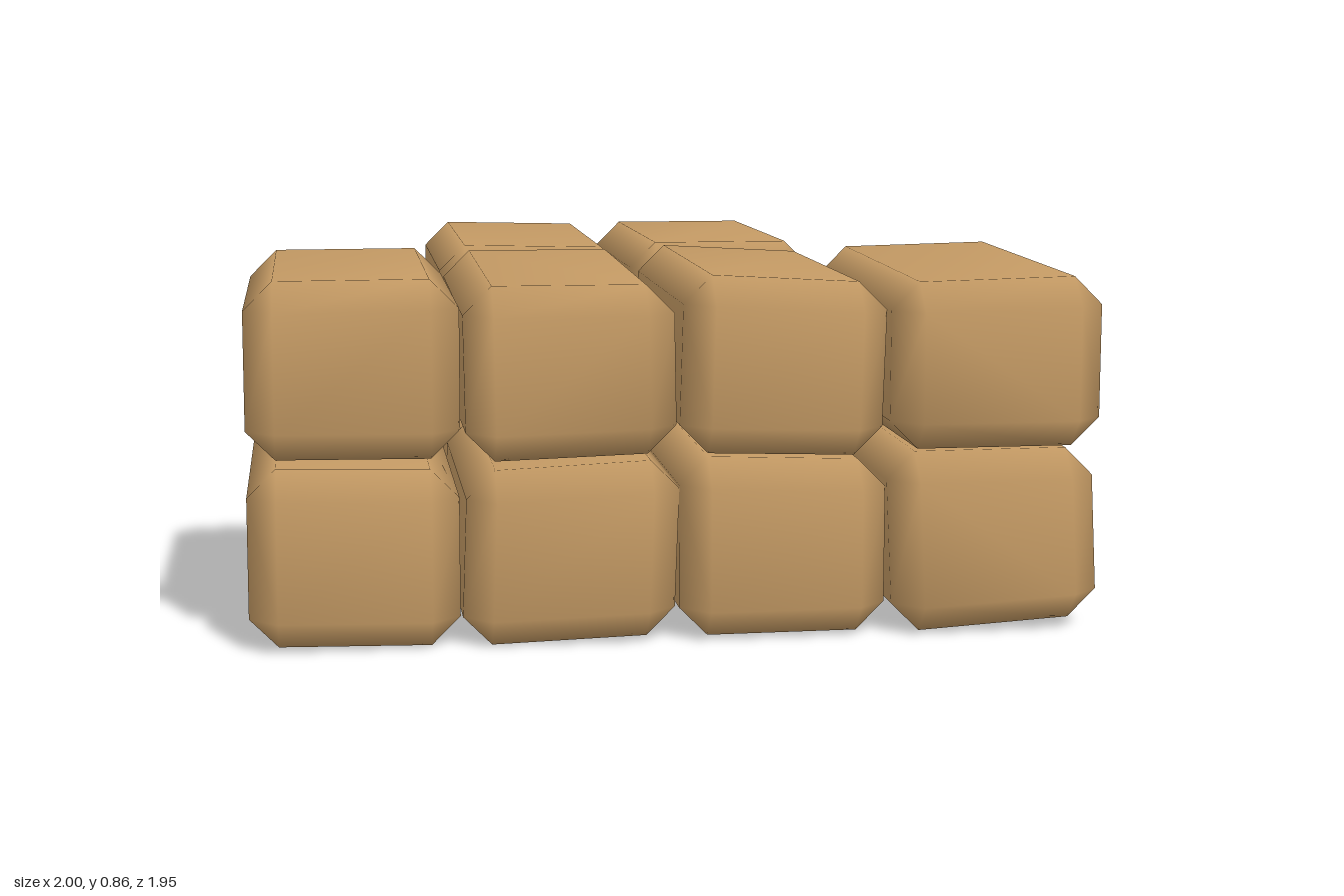
import * as THREE from 'three';
import { mergeVertices } from 'three/addons/utils/BufferGeometryUtils.js';
import { ConvexGeometry } from 'three/addons/geometries/ConvexGeometry.js';

const BEVEL = 0.067;

// Bevelled block; the tilts nudge its right, left and end faces out of square.
function blockGeometry([x0, x1, y0, y1, z0, z1], { top = 0, bottom = 0, lean = 0, pitch = 0, end = 0 }) {
  const points = [];
  for (const i of [0, 1]) for (const j of [0, 1]) for (const k of [0, 1]) {
    const corner = [
      (i ? x1 : x0) + (j ? lean : 0),
      (j ? y1 : y0) + (i ? (j ? top : bottom) : 0) + (j && k ? pitch : 0),
      (k ? z1 : z0) + (i ? end : 0),
    ];
    const inward = [i ? -1 : 1, j ? -1 : 1, k ? -1 : 1];
    // each corner is cut into three points, one per face
    for (let axis = 0; axis < 3; axis++) {
      points.push(new THREE.Vector3(...corner.map((v, a) => (a === axis ? v : v + inward[a] * BEVEL))));
    }
  }
  const hull = new ConvexGeometry(points);
  hull.deleteAttribute('normal');
  const geometry = mergeVertices(hull, 1e-4);
  geometry.computeVertexNormals();
  return geometry;
}

export function createModel() {
  const clay = new THREE.MeshStandardMaterial({ color: 0xc49a64 });
  clay.name = 'tan clay';

  // bounds x, y, z and slight irregularities of every block
  const layers = {
    lower: [
      ['frontBlock', [-1, -0.515, 0.015, 0.43, 0.01, 0.972], { top: -0.01, bottom: -0.008, end: -0.012 }],
      ['frontBlock', [-0.51, -0.015, 0.005, 0.415, 0, 0.965], { top: 0.016, bottom: 0.012, lean: 0.01 }],
      ['frontBlock', [-0.005, 0.485, 0.013, 0.437, 0.015, 0.965], { top: -0.014, end: -0.01 }],
      ['frontBlock', [0.5, 1, 0.01, 0.44, 0, 0.968], { bottom: 0.02, lean: -0.015, end: -0.012 }],
      ['backBlock', [-0.505, -0.01, 0.01, 0.43, -0.97, -0.015], { top: 0.01, end: -0.004 }],
      ['backBlock', [0.005, 0.485, 0.01, 0.437, -0.975, -0.02], { bottom: 0.01, pitch: -0.01, end: 0.005 }],
    ],
    upper: [
      ['frontBlock', [-1, -0.512, 0.45, 0.858, 0.01, 0.973], { bottom: -0.005, end: -0.01 }],
      ['frontBlock', [-0.5, -0.012, 0.435, 0.85, -0.005, 0.962], { bottom: 0.012, lean: -0.005, end: 0.004, pitch: -0.01 }],
      ['frontBlock', [-0.005, 0.475, 0.445, 0.86, 0.012, 0.967], { top: -0.02, bottom: -0.012, lean: 0.008, end: -0.008 }],
      ['frontBlock', [0.492, 0.998, 0.445, 0.85, -0.008, 0.965], { top: 0.008, pitch: -0.012, end: -0.006 }],
      ['backBlock', [-0.508, -0.01, 0.447, 0.852, -0.975, -0.012], { top: -0.008, end: 0.004 }],
      ['backBlock', [0.003, 0.488, 0.45, 0.848, -0.97, -0.018], { pitch: 0.006, bottom: -0.006 }],
    ],
  };

  const model = new THREE.Group();
  model.name = 'blockStack';
  for (const [layerName, blocks] of Object.entries(layers)) {
    const layer = new THREE.Group();
    layer.name = layerName + 'Layer';
    blocks.forEach(([name, bounds, tilt], n) => {
      const mesh = new THREE.Mesh(blockGeometry(bounds, tilt), clay);
      mesh.name = name + (n + 1);
      layer.add(mesh);
    });
    model.add(layer);
  }
  return model;
}
